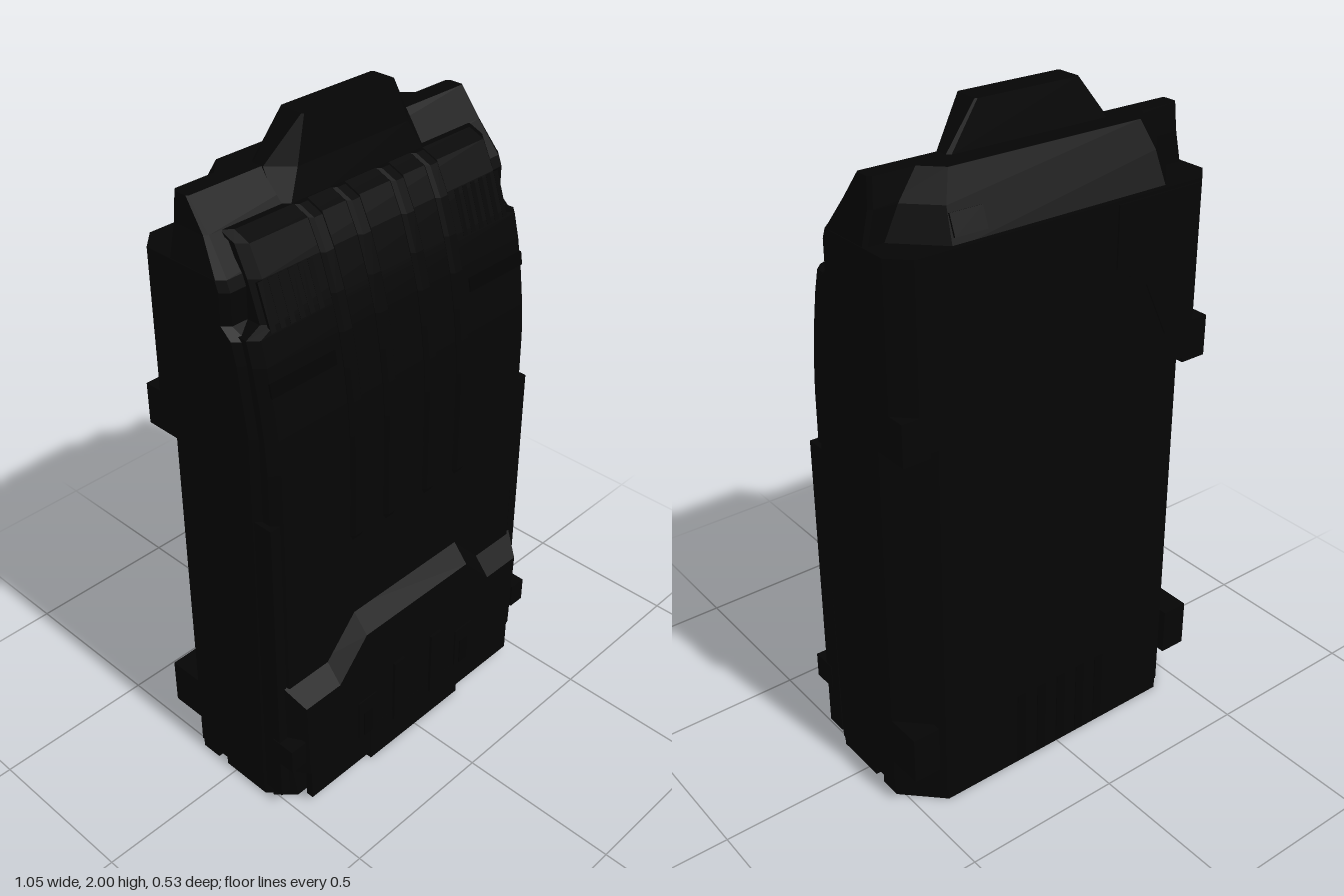
import * as THREE from 'three';

const black = new THREE.MeshStandardMaterial({ color: 0x050505, flatShading: true });
black.name = 'charcoal black';
const dark = new THREE.MeshStandardMaterial({ color: 0x030303, flatShading: true });
dark.name = 'slot black';

// Stacked eight-sided sections: [y, half width, back z, front z, back chamfer, front chamfer]
function loft(sections) {
  const rings = sections.map(([y, w, zb, zf, cb, cf]) => [
    [w, y, zf - cf], [w, y, zb + cb], [w - cb, y, zb], [cb - w, y, zb],
    [-w, y, zb + cb], [-w, y, zf - cf], [cf - w, y, zf], [w - cf, y, zf]]);
  const pos = [];
  const tri = (a, b, c) => pos.push(...a, ...b, ...c);
  for (let k = 0; k < rings.length - 1; k++) {
    const a = rings[k], b = rings[k + 1];
    for (let i = 0; i < 8; i++) {
      const j = (i + 1) % 8;
      tri(a[i], a[j], b[j]);
      tri(a[i], b[j], b[i]);
    }
  }
  const top = rings[rings.length - 1], low = rings[0];
  for (let i = 1; i < 7; i++) {
    tri(top[0], top[i], top[i + 1]);
    tri(low[0], low[i + 1], low[i]);
  }
  const g = new THREE.BufferGeometry();
  g.setAttribute('position', new THREE.Float32BufferAttribute(pos, 3));
  g.computeVertexNormals();
  return g;
}

// U-shaped rim wall on the underside, from an open end to a chamfered end (z values)
function rim(openZ, endZ, chamfer) {
  const d = Math.sign(endZ - openZ), t = 0.04;
  const half = (w, z, c) => [[w, openZ], [w, z - d * c], [w - c, z]];
  const loop = (w, z, c) => {
    const h = half(w, z, c);
    return [...h, ...h.map(([x, y]) => [-x, y]).reverse()];
  };
  const points = [...loop(0.52, endZ, chamfer), ...loop(0.52 - t, endZ - d * t, chamfer).reverse()];
  const shape = new THREE.Shape(points.map(([x, z]) => new THREE.Vector2(x, -z)));
  const g = new THREE.ExtrudeGeometry(shape, { depth: 0.036, bevelEnabled: false });
  return g.rotateX(-Math.PI / 2);
}

// Curve of the front shell: [y, z]
const curve = [[0, 0.205], [0.13, 0.21], [0.6, 0.21], [0.95, 0.212], [1.2, 0.21], [1.3, 0.203],
  [1.4, 0.19], [1.5, 0.172], [1.57, 0.154], [1.59, 0.148], [1.7, 0.11], [1.78, 0.07], [1.8, 0.02]];
function frontZ(y) {
  let k = 0;
  while (k < curve.length - 2 && curve[k + 1][0] < y) k++;
  const [y0, z0] = curve[k], [y1, z1] = curve[k + 1];
  return z0 + (z1 - z0) * (y - y0) / (y1 - y0);
}

export function createModel() {
  const model = new THREE.Group();
  const add = (name, geometry, material = black) => {
    const m = new THREE.Mesh(geometry, material);
    m.name = name;
    model.add(m);
    return m;
  };
  const box = (name, x0, x1, y0, y1, z0, z1, material) => {
    const m = add(name, new THREE.BoxGeometry(x1 - x0, y1 - y0, z1 - z0), material);
    m.position.set((x0 + x1) / 2, (y0 + y1) / 2, (z0 + z1) / 2);
    return m;
  };

  // Main housing: chamfered corners and ledges below the thin top
  add('housing', loft([
    [0.035, 0.525, -0.257, 0.18, 0.11, 0.05],
    [0.95, 0.525, -0.257, 0.18, 0.11, 0.04],
    [1.18, 0.525, -0.257, 0.18, 0.11, 0.04],
    [1.18, 0.525, -0.257, 0.18, 0.055, 0.04],
    [1.3, 0.525, -0.257, 0.17, 0.055, 0.03],
    [1.5, 0.525, -0.257, 0.14, 0.055, 0.03],
    [1.56, 0.525, -0.257, 0.125, 0.055, 0.03],
    [1.59, 0.525, -0.257, 0.08, 0.055, 0.02],
    [1.68, 0.525, -0.257, 0.08, 0.055, 0.02],
    [1.71, 0.525, -0.257, 0.068, 0.055, 0.02],
    [1.71, 0.523, -0.125, 0.068, 0.01, 0.02],
    [1.8, 0.503, -0.125, 0.0, 0.01, 0.01],
    [1.88, 0.498, -0.12, -0.065, 0.01, 0.005]]));

  // Sloped hump on the upper back
  add('upperBackHump', loft([
    [1.7, 0.48, -0.245, -0.1, 0.13, 0],
    [1.8, 0.44, -0.207, -0.1, 0.1, 0],
    [1.88, 0.38, -0.175, -0.1, 0.07, 0]]));

  // Rim around the recessed underside, with a notch in each side
  add('frontRim', rim(-0.04, 0.2, 0.07));
  add('rearRim', rim(-0.08, -0.257, 0.11));

  // Curved front shell, narrower above the ledge
  add('frontShell', loft(curve.map(([y, z]) => y > 1.58
    ? [y, 0.455, Math.min(0.06, z - 0.05), z, 0.005, 0.025]
    : [y, 0.507, z - 0.06, z, 0.005, y < 0.05 ? 0.05 : 0.025])));

  // Top block with a tapered crown
  add('topBlock', loft([
    [1.76, 0.27, -0.12, 0.025, 0.01, 0.01],
    [1.88, 0.26, -0.108, 0.0, 0.01, 0.06],
    [2.0, 0.165, -0.095, -0.015, 0.005, 0.005]]));

  // Raised lower cover: stepped outline, bevelled by pulling in its front face
  const outline = [[-0.49, 0.13], [0.49, 0.13], [0.5, 0.47], [0.33, 0.47], [0.22, 0.59],
    [-0.22, 0.59], [-0.33, 0.47], [-0.5, 0.47]].map(p => new THREE.Vector2(...p));
  const cover = new THREE.ExtrudeGeometry(new THREE.Shape(outline), { depth: 0.06, bevelEnabled: false });
  const p = cover.attributes.position;
  for (let i = 0; i < p.count; i++) {
    if (p.getZ(i) < 0.05) continue;
    if (p.getY(i) > 0.4) p.setY(i, p.getY(i) - 0.07);
    if (Math.abs(p.getX(i)) > 0.45) p.setX(i, p.getX(i) * 0.93);
  }
  cover.translate(0, 0, 0.2);
  cover.computeVertexNormals();
  add('lowerCover', cover);
  box('lowerSkirt', -0.45, 0.45, 0.025, 0.135, 0.235, 0.259);
  box('lowerSkirtCentre', -0.2, 0.2, 0, 0.135, 0.235, 0.261);

  // Four long ribs following the front curve
  const ribYs = [0.85, 0.87, 1.2, 1.3, 1.4, 1.5, 1.6, 1.7, 1.78, 1.8];
  for (const x of [-0.213, -0.081, 0.081, 0.213]) {
    const rib = add('frontRib', loft(ribYs.map((y, i) =>
      [y, 0.024, frontZ(y) - 0.03, frontZ(y) + (i === 0 ? 0.002 : 0.012), 0, 0.01])));
    rib.position.x = x;
  }

  for (const s of [-1, 1]) {
    const side = (name, x0, x1, ...rest) => box(name, Math.min(s * x0, s * x1), Math.max(s * x0, s * x1), ...rest);
    // Clips on the rear corners and at the lower front corners
    side('rearUpperClip', 0.44, 0.525, 1.165, 1.29, -0.257, -0.14);
    side('rearLowerClip', 0.44, 0.525, 0.13, 0.28, -0.257, -0.14);
    side('frontCornerTab', 0.47, 0.525, 0.19, 0.27, 0.178, 0.258);
    // Narrow rails along the lower front edges
    side('edgeRail', 0.49, 0.523, 0.05, 1.04, 0.14, 0.205);
    // Latches on the lower cover
    side('coverLatch', 0.18, 0.255, 0.13, 0.27, 0.24, 0.265);
    side('latchSlot', 0.2, 0.235, 0.13, 0.22, 0.262, 0.268, dark);
    side('coverRib', 0.06, 0.105, 0.1, 0.33, 0.24, 0.269);
    // Horizontal groove and the row of vents above it
    const groove = side('frontGroove', 0.26, 0.485, 1.42, 1.46, 0.179, 0.187, dark);
    groove.rotation.x = -0.17;
    for (let i = 0; i < 6; i++) {
      const x = 0.265 + i * 0.033;
      const vent = side('frontVent', x, x + 0.017, 1.57, 1.7, 0.125, 0.133, dark);
      vent.rotation.x = -0.33;
    }
  }

  // Grilles at the bottom of the back and on the underside
  for (let i = 0; i < 5; i++) {
    const x = -0.16 + i * 0.075;
    box('backVent', x - 0.015, x + 0.015, 0.01, 0.25, -0.26, -0.255, dark);
    box('bottomVent', x - 0.015, x + 0.015, 0.031, 0.036, -0.21, -0.09, dark);
  }

  // Stepped cover plate on the upper back
  const plate = new THREE.Shape([[0.17, 1.7], [0.17, 1.52], [0.28, 1.45], [0.36, 1.28], [0.465, 1.22],
    [0.465, 1.7]].map(([x, y]) => new THREE.Vector2(-x, y)));
  const plateGeometry = new THREE.ExtrudeGeometry(plate, { depth: 0.008, bevelEnabled: false });
  add('backPlate', plateGeometry.translate(0, 0, -0.262));
  const slot = box('backSlot', 0.24, 0.34, 1.725, 1.785, -0.23, -0.222, dark);
  slot.rotation.x = 0.37;

  return model;
}
